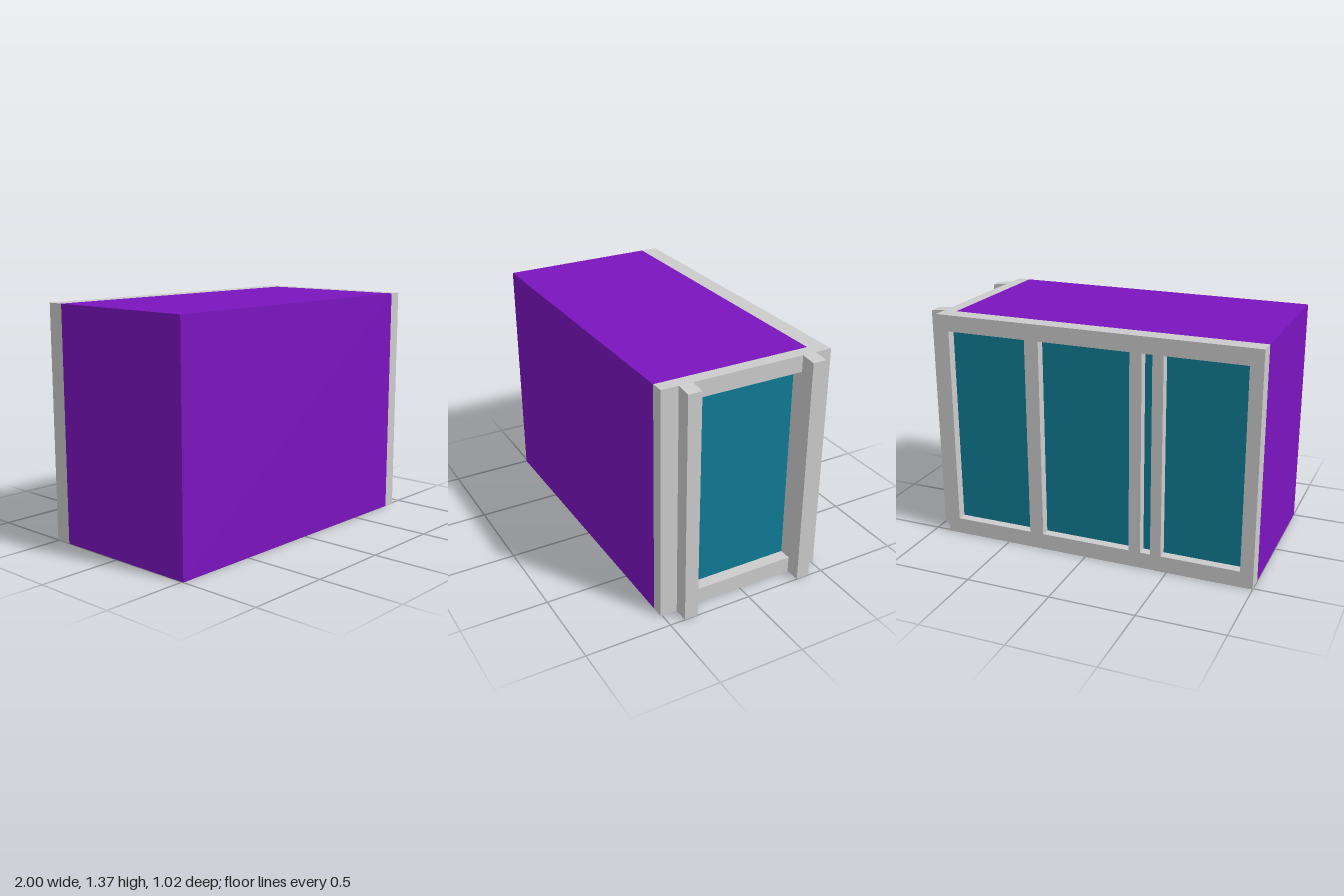
import * as THREE from 'three';

const H = 1.365, SILL = 0.095, HEAD = 1.27;
const frameMat = new THREE.MeshStandardMaterial({ color: 0xcccccc });
const bodyMat = new THREE.MeshStandardMaterial({ color: 0x7a14be });
const glassMat = new THREE.MeshStandardMaterial({ color: 0x107b95 });

function tracePath(path, points) {
  points.forEach(([x, y], i) => (i ? path.lineTo(x, y) : path.moveTo(x, y)));
  path.closePath();
  return path;
}

const rect = (x0, x1, y0, y1) => [[x0, y0], [x1, y0], [x1, y1], [x0, y1]];

// Flat outline with holes, extruded along +z
function panel(name, outline, holes, depth) {
  const shape = tracePath(new THREE.Shape(), outline);
  for (const h of holes) shape.holes.push(tracePath(new THREE.Path(), h));
  const geo = new THREE.ExtrudeGeometry(shape, { depth, bevelEnabled: false });
  const mesh = new THREE.Mesh(geo, frameMat);
  mesh.name = name;
  return mesh;
}

// Box given by its limits on each axis
function block(name, mat, [x0, x1], [y0, y1], [z0, z1]) {
  const mesh = new THREE.Mesh(new THREE.BoxGeometry(x1 - x0, y1 - y0, z1 - z0), mat);
  mesh.position.set((x0 + x1) / 2, (y0 + y1) / 2, (z0 + z1) / 2);
  mesh.name = name;
  return mesh;
}

export function createModel() {
  const model = new THREE.Group();
  model.name = 'glazedCabin';

  // Solid cabin body
  model.add(block('body', bodyMat, [-1, 0.835], [0, H], [-0.41, 0.51]));

  // Back frame with four openings, the third a narrow slot
  const openings = [[0.355, 0.835], [-0.27, 0.27], [-0.4, -0.34], [-0.925, -0.463]];
  const backFrame = panel('backFrame', rect(-1, 0.91, 0, H),
    openings.map(([a, b]) => rect(a, b, SILL, HEAD)), 0.1);
  backFrame.position.z = -0.51;
  model.add(backFrame);

  // Back panes, set halfway into the frame
  for (const [a, b] of openings)
    model.add(block('backPane', glassMat, [a, b], [SILL, HEAD], [-0.455, -0.411]));

  // Side frame with one tall opening, turned to face +x
  const sideFrame = panel('sideFrame', rect(-0.51, 0.41, 0, H), [rect(-0.33, 0.33, SILL, HEAD)], 0.075);
  sideFrame.rotation.y = Math.PI / 2;
  sideFrame.position.x = 0.835;
  model.add(sideFrame);
  model.add(block('sidePane', glassMat, [0.82, 0.838], [SILL, HEAD], [-0.33, 0.33]));

  // Projecting posts beside the side window, with tops sloping outward
  for (const z of [-0.41, 0.33]) {
    const post = panel('sidePost', [[0.91, 0], [1, 0], [1, H - 0.01], [0.91, H]], [], 0.08);
    post.position.z = z;
    model.add(post);
  }
  return model;
}
